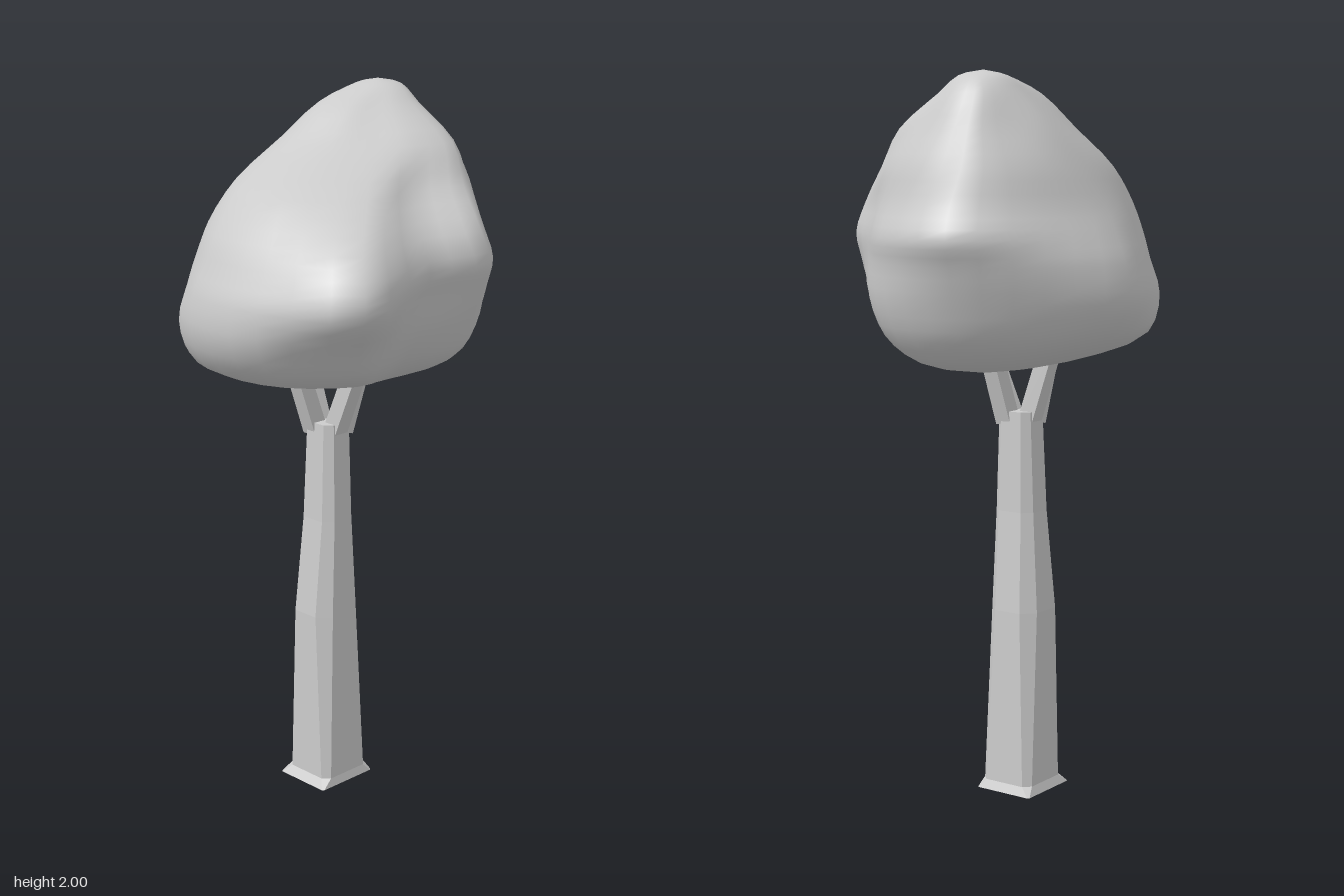
import * as THREE from 'three';
import { mergeVertices } from 'three/addons/utils/BufferGeometryUtils.js';

const V = (x, y, z) => new THREE.Vector3(x, y, z);

// Skin a stack of closed rings (bottom to top, each running from +x towards +z)
function loft(rings) {
  const n = rings[0].length, index = [];
  for (let i = 0; i < rings.length - 1; i++) {
    for (let j = 0; j < n; j++) {
      const a = i * n + j, b = i * n + (j + 1) % n;
      index.push(a, a + n, b, b, a + n, b + n);
    }
  }
  const geometry = new THREE.BufferGeometry().setFromPoints(rings.flat());
  geometry.setIndex(index);
  return geometry;
}

// Crown sections: height, centre x, centre z, radii every 30 degrees starting at 10
const CROWN = [
  [1.23, -0.03, -0.05, [0.18, 0.22, 0.24, 0.25, 0.23, 0.21, 0.21, 0.23, 0.25, 0.26, 0.23, 0.19]],
  [1.3, 0, 0, [0.26, 0.38, 0.43, 0.44, 0.42, 0.4, 0.4, 0.39, 0.4, 0.38, 0.33, 0.3]],
  [1.4, 0, 0, [0.33, 0.48, 0.51, 0.49, 0.45, 0.43, 0.47, 0.44, 0.45, 0.42, 0.37, 0.36]],
  [1.5, 0, 0, [0.36, 0.59, 0.52, 0.48, 0.42, 0.41, 0.46, 0.46, 0.49, 0.43, 0.37, 0.4]],
  [1.57, 0, 0, [0.38, 0.59, 0.49, 0.45, 0.4, 0.39, 0.43, 0.45, 0.52, 0.44, 0.37, 0.42]],
  [1.65, 0, 0, [0.34, 0.52, 0.44, 0.41, 0.37, 0.36, 0.39, 0.42, 0.48, 0.41, 0.35, 0.39]],
  [1.75, -0.05, -0.08, [0.27, 0.4, 0.42, 0.37, 0.32, 0.29, 0.29, 0.31, 0.35, 0.33, 0.31, 0.32]],
  [1.85, -0.08, -0.15, [0.23, 0.21, 0.23, 0.25, 0.23, 0.2, 0.2, 0.2, 0.23, 0.22, 0.22, 0.26]],
  [1.94, -0.1, -0.19, [0.13, 0.12, 0.14, 0.16, 0.14, 0.11, 0.11, 0.12, 0.14, 0.14, 0.13, 0.14]],
  [1.985, -0.1, -0.22, Array(12).fill(0.065)],
];

function crownGeometry() {
  const around = 36, up = 33;
  const sections = CROWN.map(([y, cx, cz, radii]) => {
    const points = radii.map((r, k) => {
      const a = THREE.MathUtils.degToRad(10 + 30 * k);
      return V(cx + r * Math.cos(a), y, cz + r * Math.sin(a));
    });
    const curve = new THREE.CatmullRomCurve3(points, true);
    return Array.from({ length: around }, (_, j) => curve.getPoint(j / around));
  });
  // One vertical spline per column, closed at both poles
  const columns = Array.from({ length: around }, (_, j) => new THREE.CatmullRomCurve3([
    V(-0.03, 1.195, -0.12), ...sections.map((s) => s[j]), V(-0.1, 2, -0.22),
  ]));
  const rings = Array.from({ length: up + 1 }, (_, i) => columns.map((c) => c.getPoint(i / up)));
  const geometry = mergeVertices(loft(rings), 1e-5);
  geometry.computeVertexNormals();
  return geometry;
}

// Trunk sections: height, x min, x max, z min, z max, corner chamfer
const TRUNK = [
  [0, -0.145, 0.033, -0.073, 0.125, 0.005],
  [0.025, -0.135, 0.028, -0.062, 0.108, 0.02],
  [0.52, -0.135, 0.018, -0.055, 0.105, 0.035],
  [0.8, -0.115, 0.01, -0.035, 0.08, 0.025],
  [1.08, -0.105, 0, -0.03, 0.068, 0.02],
];

function trunkGeometry() {
  const rings = TRUNK.map(([y, x0, x1, z0, z1, c]) => [
    V(x1, y, z0 + c), V(x1, y, z1 - c), V(x1 - c, y, z1), V(x0 + c, y, z1),
    V(x0, y, z1 - c), V(x0, y, z0 + c), V(x0 + c, y, z0), V(x1 - c, y, z0),
  ]);
  // Close both ends with a ring collapsed to a point
  const cap = (y) => Array.from({ length: 8 }, () => V(-0.053, y, 0.02));
  const geometry = loft([cap(0), ...rings, cap(1.08)]);
  geometry.computeVertexNormals();
  return geometry;
}

// Four-sided limb between two points
function limb(from, to, material) {
  const d = to.clone().sub(from);
  const geometry = new THREE.CylinderGeometry(0.032, 0.034, d.length(), 4).rotateY(Math.PI / 4);
  const mesh = new THREE.Mesh(geometry, material);
  mesh.position.copy(from).addScaledVector(d, 0.5);
  mesh.quaternion.setFromUnitVectors(V(0, 1, 0), d.normalize());
  return mesh;
}

export function createModel() {
  const group = new THREE.Group();
  const smooth = new THREE.MeshStandardMaterial({ color: 0xcccccc });
  const flat = new THREE.MeshStandardMaterial({ color: 0xcccccc, flatShading: true });
  const add = (mesh, name) => {
    mesh.name = name;
    group.add(mesh);
  };

  add(new THREE.Mesh(crownGeometry(), smooth), 'crown');
  add(new THREE.Mesh(trunkGeometry(), flat), 'trunk');

  // Branches fanning from the trunk top into the crown
  const branches = {
    rightBranch: [V(-0.08, 1.05, 0.02), V(-0.155, 1.27, 0.02)],
    leftBranch: [V(-0.025, 1.05, 0.02), V(0.07, 1.27, 0.02)],
    frontBranch: [V(-0.08, 1.05, 0.042), V(-0.082, 1.27, 0.12)],
    backBranch: [V(-0.025, 1.05, -0.005), V(-0.01, 1.27, -0.075)],
  };
  for (const [name, [from, to]] of Object.entries(branches)) add(limb(from, to, flat), name);

  return group;
}
